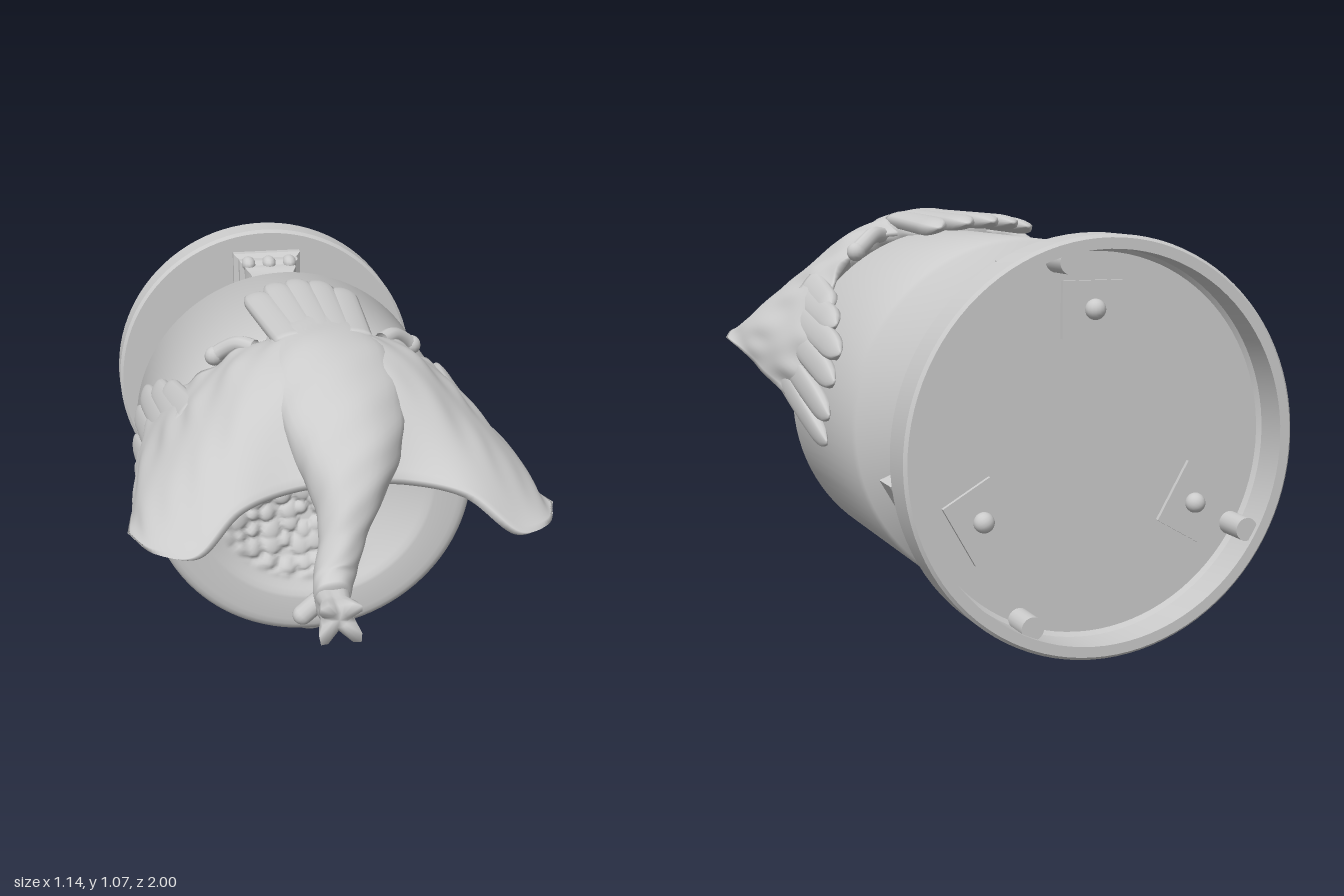
import * as THREE from 'three';
import { toCreasedNormals } from 'three/addons/utils/BufferGeometryUtils.js';

const CY = 0.52; // height of the drum axis
const V = (x, y, z) => new THREE.Vector3(x, y, z);
const mat = new THREE.MeshStandardMaterial({ color: 0xcccccc, side: THREE.DoubleSide });

function add(parent, name, geo, x = 0, y = 0, z = 0) {
  const m = new THREE.Mesh(geo, mat);
  m.name = name;
  m.position.set(x, y, z);
  parent.add(m);
  return m;
}

// profile of [radius, z] pairs turned around the z axis
function turned(profile, segments, crease = 0.5) {
  const g = new THREE.LatheGeometry(profile.map(p => new THREE.Vector2(...p)), segments);
  if (segments === 4) g.rotateY(Math.PI / 4);
  g.rotateX(Math.PI / 2);
  return toCreasedNormals(g, crease);
}

// skin over a list of closed rings, closed at both ends
function loft(sections) {
  const flat = r => { const c = V(0, 0, 0); r.forEach(p => c.add(p)); c.divideScalar(r.length); return r.map(() => c); };
  const rings = [flat(sections[0]), ...sections, flat(sections[sections.length - 1])];
  const n = rings[0].length, pos = [], idx = [];
  rings.forEach(r => r.forEach(p => pos.push(p.x, p.y, p.z)));
  for (let i = 0; i < rings.length - 1; i++) for (let j = 0; j < n; j++) {
    const a = i * n + j, b = i * n + (j + 1) % n;
    idx.push(a, b, a + n, b, b + n, a + n);
  }
  const g = new THREE.BufferGeometry();
  g.setAttribute('position', new THREE.Float32BufferAttribute(pos, 3));
  g.setIndex(idx);
  g.computeVertexNormals();
  return g;
}

// flat feather lying on the drum, from (angle, z) to (angle, z), rounded at the tip
function feather(a0, z0, a1, z1, w0, w1, radius, thick) {
  const rings = [];
  for (let i = 0; i <= 18; i++) {
    const t = i / 18, a = THREE.MathUtils.degToRad(a0 + (a1 - a0) * t), z = z0 + (z1 - z0) * t;
    const end = Math.sqrt(Math.max(0.03, 1 - Math.pow(Math.max(0, (t - 0.8) / 0.2), 2)));
    const w = (w0 + (w1 - w0) * t) * end, ring = [];
    for (let j = 0; j < 16; j++) {
      const q = j / 16 * Math.PI * 2, c = Math.cos(q), s = Math.sin(q);
      const r = radius + thick * end * Math.sign(s) * Math.sqrt(Math.abs(s)), k = a + w * c / radius;
      ring.push(V(r * Math.cos(k), CY + r * Math.sin(k), z));
    }
    rings.push(ring);
  }
  return loft(rings);
}

// wing: chord curves from leading edge to trailing edge, root to tip
function wingGeometry() {
  const chords = [
    [V(0, .80, .66), V(0, .98, .47), V(0, 1.06, .25), V(0, 1.0, .06)],
    [V(.15, .78, .64), V(.18, .965, .46), V(.20, 1.01, .28), V(.21, .99, .14)],
    [V(.30, .755, .70), V(.33, .86, .50), V(.35, .895, .28), V(.335, .895, .10)],
    [V(.42, .67, .77), V(.44, .78, .50), V(.44, .80, .20), V(.43, .775, -.07)],
    [V(.51, .66, .72), V(.53, .70, .45), V(.515, .68, .15), V(.487, .63, -.15)],
    [V(.572, .65, .57), V(.555, .62, .40), V(.535, .57, .20), V(.497, .51, -.05)],
  ];
  const curves = [0, 1, 2, 3].map(k => new THREE.CatmullRomCurve3(chords.map(c => c[k])));
  const rings = [], N = 36;
  for (let i = 0; i <= 48; i++) {
    const u = i / 48, c = new THREE.CatmullRomCurve3(curves.map(k => k.getPoint(u)));
    const top = [], bottom = [];
    for (let j = 0; j <= N; j++) {
      const t = j / N, p = c.getPoint(t), out = V(p.x, p.y - CY, 0).normalize();
      const th = 0.035 * Math.pow(Math.sin(Math.PI * (0.1 + 0.82 * t)), 0.6);
      // shallow feather relief growing toward the trailing edge
      const ripple = 0.008 * t * Math.sin(u * 40 + 5 * t) * (0.5 + 0.5 * Math.sin(t * 18 + u * 6));
      top.push(p.clone().addScaledVector(out, ripple));
      bottom.unshift(p.clone().addScaledVector(out, -th));
    }
    rings.push([...top, ...bottom]);
  }
  return loft(rings);
}

// body, neck and head: elliptical sections square to a drooping path
function bodyGeometry() {
  const st = [ // x, y, z, half width, half height
    [0, 1.0, 0, .10, .05], [0, .995, .15, .15, .07], [0, .97, .32, .18, .09],
    [0, .91, .48, .17, .095], [0, .83, .61, .135, .095], [-.015, .755, .70, .088, .085],
    [-.045, .68, .765, .06, .066], [-.075, .61, .82, .055, .06], [-.09, .585, .88, .045, .045]];
  const path = new THREE.CatmullRomCurve3(st.map(s => V(s[0], s[1], s[2])));
  const size = new THREE.CatmullRomCurve3(st.map(s => V(s[3], s[4], 0)));
  const rings = [];
  for (let i = 0; i <= 48; i++) {
    const t = i / 48, p = path.getPoint(t), s = size.getPoint(t);
    const up = V(1, 0, 0).cross(path.getTangent(t)).normalize(), ring = [];
    for (let j = 0; j < 32; j++) {
      const a = j / 32 * Math.PI * 2, k = 1 + 0.03 * Math.sin(a * 5 + t * 20) * Math.sin(t * 34);
      ring.push(V(p.x + s.x * k * Math.cos(a), p.y, p.z).addScaledVector(up, s.y * k * Math.sin(a)));
    }
    rings.push(ring);
  }
  return loft(rings);
}

// rounded pebbles on a jittered grid, 0 to 1
function pebbles(x, y) {
  const hash = (i, j, k) => { const h = Math.sin(i * 127.1 + j * 311.7 + k * 74.7) * 43758.5; return h - Math.floor(h); };
  const s = 0.048, ci = Math.floor(x / s), cj = Math.floor(y / s);
  let h = 0;
  for (let i = ci - 1; i <= ci + 1; i++) for (let j = cj - 1; j <= cj + 1; j++) {
    const dx = x / s - i - 0.2 - 0.6 * hash(i, j, 1), dy = y / s - j - 0.2 - 0.6 * hash(i, j, 2);
    const size = 0.4 + 0.3 * hash(i, j, 3);
    h = Math.max(h, 1 - (dx * dx + dy * dy) / (size * size));
  }
  return Math.sqrt(h);
}

// dished face with a pebbled relief, strongest on one half
function dishGeometry() {
  const R = 0.347, g = new THREE.RingGeometry(0.001, R, 160, 60), p = g.attributes.position;
  for (let i = 0; i < p.count; i++) {
    const x = p.getX(i), y = p.getY(i), r = Math.hypot(x, y) / R;
    const fade = THREE.MathUtils.smoothstep(0.95 - r, 0, 0.12) * (1 - THREE.MathUtils.smoothstep(x, -.02, 0.2));
    p.setZ(i, -0.12 * (1 - r * r) + 0.018 * fade * pebbles(x, y));
  }
  g.computeVertexNormals();
  return g;
}

export function createModel() {
  const model = new THREE.Group();
  model.name = 'eagleDrumOnStand';

  // drum with conical back, rounded front edge and a bevel around the dish
  add(model, 'drum', turned([[0, -.73], [.478, -.507], [.487, -.495], [.487, .07], [.484, .083], [.475, .093], [.462, .099],
    [.445, .1], [.372, .1], [.362, .098], [.347, .088]], 96, .7), 0, CY, 0);
  add(model, 'dish', dishGeometry(), 0, CY, .088);
  add(model, 'dishKnob', new THREE.SphereGeometry(.038, 20, 14), .11, .66, .02);
  add(model, 'bottomBump', new THREE.SphereGeometry(1, 24, 16), 0, .035, 0).scale.set(.065, .033, .07);

  // round base, hollow at the back
  add(model, 'base', turned([[0, -.905], [.475, -.905], [.485, -.915], [.485, -1], [.512, -1], [.52, -.992], [.52, -.9],
    [.51, -.89], [0, -.89]], 96), 0, CY, 0);
  const tab = new THREE.CylinderGeometry(.03, .03, .085, 20).rotateX(Math.PI / 2);
  for (const deg of [78, 210, 294]) {
    const a = THREE.MathUtils.degToRad(deg);
    add(model, 'rimTab', tab, .465 * Math.cos(a), CY + .465 * Math.sin(a), -.945);
  }

  // three square columns with their fixings on the back of the base
  const column = turned([[.115, -.9], [.115, -.865], [.1, -.85], [.1, -.82], [.085, -.805], [.085, -.77], [.072, -.745],
    [.072, -.64], [.095, -.605], [.095, -.5]].map(([w, z]) => [w * Math.SQRT2, z]), 4);
  for (let i = 0; i < 3; i++) {
    const arm = new THREE.Group();
    arm.name = 'columnUnit' + (i + 1);
    arm.position.y = CY;
    arm.rotation.z = i * Math.PI * 2 / 3;
    add(arm, 'column', column, 0, .35, 0).scale.y = .85;
    for (const x of [-.07, 0, .07]) for (const s of [-1, 1])
      add(arm, 'capitalLeaf', new THREE.SphereGeometry(.024, 12, 8), x, .35 + s * .075, -.82).scale.z = 1.7;
    add(arm, 'fixingPlate', new THREE.BoxGeometry(.17, .14, .015), 0, .335, -.908);
    add(arm, 'fixingBolt', new THREE.SphereGeometry(.026, 16, 12), 0, .335, -.922);
    model.add(arm);
  }

  // eagle draped over the drum
  const eagle = new THREE.Group();
  eagle.name = 'eagle';
  model.add(eagle);
  add(eagle, 'bodyAndNeck', bodyGeometry());

  // pinched beak flaring to four points, with a hollow end and a lower spur
  const beak = [[.85, .04, 0], [.89, .046, .1], [.925, .04, .15], [.96, .048, .25], [1.0, .052, .35], [.975, .02, 0]].map(([z, h, f]) => {
    const ring = [];
    for (let j = 0; j < 24; j++) {
      const a = j / 24 * Math.PI * 2, k = Math.cos(4 * (a - Math.PI / 4)), r = h * (1 + f * k);
      ring.push(V(-.09 + r * Math.cos(a), .575 + r * Math.sin(a), z - .05 * f * (1 - k)));
    }
    return ring;
  });
  add(eagle, 'beak', loft(beak));
  const spur = add(eagle, 'beakSpur', new THREE.CapsuleGeometry(.026, .07, 6, 14), -.13, .54, .83);
  spur.rotation.z = -Math.PI * .27;

  // fan tail
  for (let k = -2; k <= 2; k++)
    add(eagle, 'tailFeather', feather(90 + k * 5, .25, 90 + k * 7.5, -.285 + k * k * .016, .045, .042, .522, .022));

  // wings, flight feathers and claws, mirrored
  const wing = wingGeometry();
  const flight = [[41, .25, 34, -.08], [36, .25, 29, -.2], [30, .25, 21, -.33], [24, .25, 12, -.345], [17, .25, 1, -.33], [11, .25, -8, -.29]];
  const claw = new THREE.TubeGeometry(new THREE.CatmullRomCurve3([V(.18, .99, .16), V(.22, .99, .12), V(.26, .965, .09),
    V(.285, .945, .08)]), 24, .024, 10);
  for (const s of [1, -1]) {
    const side = new THREE.Group();
    side.name = s > 0 ? 'leftSide' : 'rightSide';
    side.scale.x = s;
    add(side, 'wing', wing);
    for (const [a0, z0, a1, z1] of flight) add(side, 'flightFeather', feather(a0, z0, a1, z1, .045, .038, .497, .02));
    add(side, 'claw', claw);
    add(side, 'clawKnuckle', new THREE.SphereGeometry(.028, 14, 10), .285, .945, .08);
    eagle.add(side);
  }
  return model;
}
